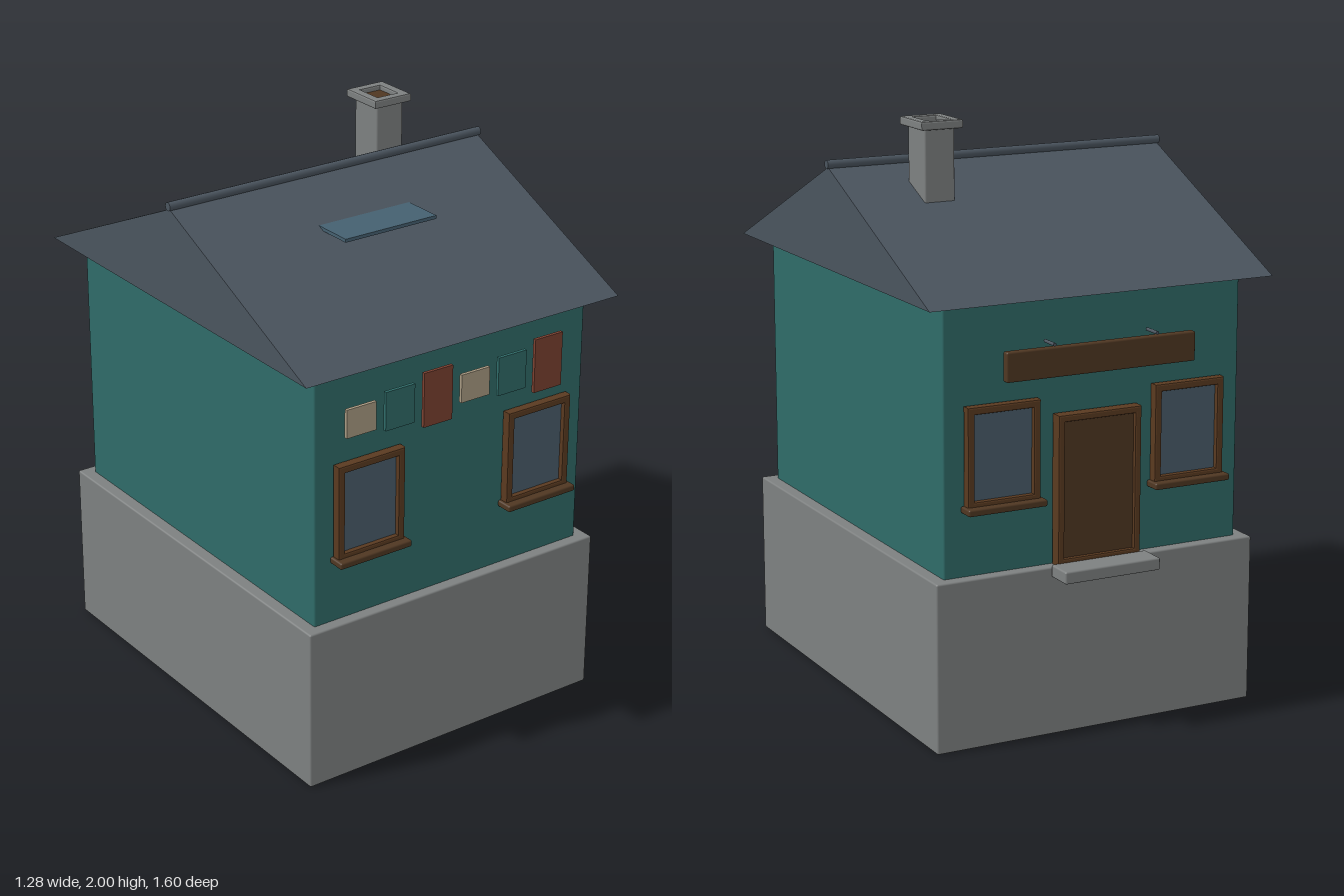
import * as THREE from 'three';
import { RoundedBoxGeometry } from 'three/addons/geometries/RoundedBoxGeometry.js';

const mat = (color) => new THREE.MeshStandardMaterial({ color });
const M = {
  stone: mat(0x7d8080), wall: mat(0x2f6b68), roof: mat(0x4a545e), glass: mat(0x4a5d6b),
  wood: mat(0x4f3722), trim: mat(0x5a3a20), sky: mat(0x456070),
  cream: mat(0xa89a82), red: mat(0x7a4030),
};

function add(parent, name, geometry, material, x = 0, y = 0, z = 0) {
  const mesh = new THREE.Mesh(geometry, material);
  mesh.name = name;
  mesh.position.set(x, y, z);
  parent.add(mesh);
  return mesh;
}

// Softly edged box given by its limits on each axis
function block(parent, name, material, [x0, x1], [y0, y1], [z0, z1], r = 0.006) {
  const g = r
    ? new RoundedBoxGeometry(x1 - x0, y1 - y0, z1 - z0, 2, r)
    : new THREE.BoxGeometry(x1 - x0, y1 - y0, z1 - z0);
  return add(parent, name, g, material, (x0 + x1) / 2, (y0 + y1) / 2, (z0 + z1) / 2);
}

function rect(path, w, h) {
  path.moveTo(-w / 2, -h / 2);
  path.lineTo(w / 2, -h / 2);
  path.lineTo(w / 2, h / 2);
  path.lineTo(-w / 2, h / 2);
  path.closePath();
  return path;
}

// Rectangular bevelled frame with an opening, lying from z = 0 to z = depth
function frameGeometry(w, h, border, depth) {
  const b = 0.006;
  const shape = rect(new THREE.Shape(), w - 2 * b, h - 2 * b);
  shape.holes.push(rect(new THREE.Path(), w - 2 * border + 2 * b, h - 2 * border + 2 * b));
  return new THREE.ExtrudeGeometry(shape, {
    depth: depth - 2 * b, bevelEnabled: true, bevelSize: b, bevelThickness: b, bevelSegments: 2,
  }).translate(0, 0, b);
}

// Window facing +z, with its back on z = 0
function makeWindow() {
  const w = new THREE.Group();
  w.name = 'window';
  add(w, 'windowFrame', frameGeometry(0.265, 0.34, 0.026, 0.035), M.trim, 0, 0.98, 0);
  block(w, 'windowGlass', M.glass, [-0.115, 0.115], [0.83, 1.13], [-0.005, 0.018], 0);
  block(w, 'windowSill', M.wood, [-0.143, 0.143], [0.797, 0.82], [0, 0.063]);
  return w;
}

export function createModel() {
  const house = new THREE.Group();
  house.name = 'house';
  const front = 0.725, back = -0.66;

  // Plinth and walls
  block(house, 'plinth', M.stone, [-0.595, 0.595], [0, 0.58], [-0.7, 0.765]);
  block(house, 'walls', M.wall, [-0.55, 0.55], [0.56, 1.488], [back, front]);

  // Gabled roof and ridge pole
  const gable = new THREE.Shape();
  gable.moveTo(-0.738, 1.485);
  gable.lineTo(0.8, 1.485);
  gable.lineTo(0.031, 1.832);
  gable.closePath();
  const roof = new THREE.ExtrudeGeometry(gable, { depth: 1.264, bevelEnabled: false });
  roof.translate(0, 0, -0.632).rotateY(-Math.PI / 2);
  add(house, 'roof', roof, M.roof);
  const ridge = new THREE.CylinderGeometry(0.015, 0.015, 1.276, 12).rotateZ(Math.PI / 2);
  add(house, 'ridge', ridge, M.roof, 0, 1.842, 0.031);

  // Roof hatch pane
  block(house, 'skylight', M.sky, [-0.185, 0.185], [1.728, 1.74], [0.2, 0.385], 0);

  // Chimney with hollow cap
  const chimney = new THREE.Group();
  chimney.name = 'chimney';
  block(chimney, 'chimneyStack', M.stone, [0.276, 0.386], [1.65, 1.975], [-0.2, -0.072]);
  const cap = frameGeometry(0.15, 0.166, 0.033, 0.03).rotateX(-Math.PI / 2);
  add(chimney, 'chimneyCap', cap, M.stone, 0.331, 1.97, -0.137);
  block(chimney, 'flue', M.wood, [0.286, 0.376], [1.95, 1.982], [-0.188, -0.086], 0);
  house.add(chimney);

  // Windows on the front and back
  for (const side of [-1, 1]) {
    const f = makeWindow();
    f.position.set(side * 0.346, 0, front);
    house.add(f);
    const b = makeWindow();
    b.position.set(side * 0.346, 0, back);
    b.rotation.y = Math.PI;
    house.add(b);
  }

  // Row of panels above the front windows
  const kinds = [[M.cream, 0.1, 1.29], [M.wall, 0.137, 1.292], [M.red, 0.193, 1.29]];
  for (let i = 0; i < 6; i++) {
    const [material, h, y] = kinds[i % 3];
    const x = -0.384 + i * 0.153;
    block(house, 'wallPanel', material, [x - 0.058, x + 0.058], [y - h / 2, y + h / 2], [0.739, 0.751], 0);
  }

  // Back door with frame and step
  const door = new THREE.Group();
  door.name = 'door';
  const doorFrame = frameGeometry(0.31, 0.51, 0.024, 0.047).rotateY(Math.PI);
  add(door, 'doorFrame', doorFrame, M.trim, 0, 0.835, back);
  block(door, 'doorLeaf', M.wood, [-0.138, 0.138], [0.585, 1.075], [back - 0.034, back + 0.005], 0);
  block(door, 'doorStep', M.stone, [-0.178, 0.178], [0.548, 0.59], [-0.8, -0.7]);
  house.add(door);

  // Hanging board with two short rods
  block(house, 'signBoard', M.wood, [-0.35, 0.35], [1.222, 1.322], [-0.717, -0.688]);
  for (const side of [-1, 1]) {
    const rod = new THREE.CylinderGeometry(0.006, 0.006, 0.065, 8).rotateX(Math.PI / 2);
    add(house, 'signRod', rod, M.roof, side * 0.19, 1.337, -0.708);
  }
  return house;
}
